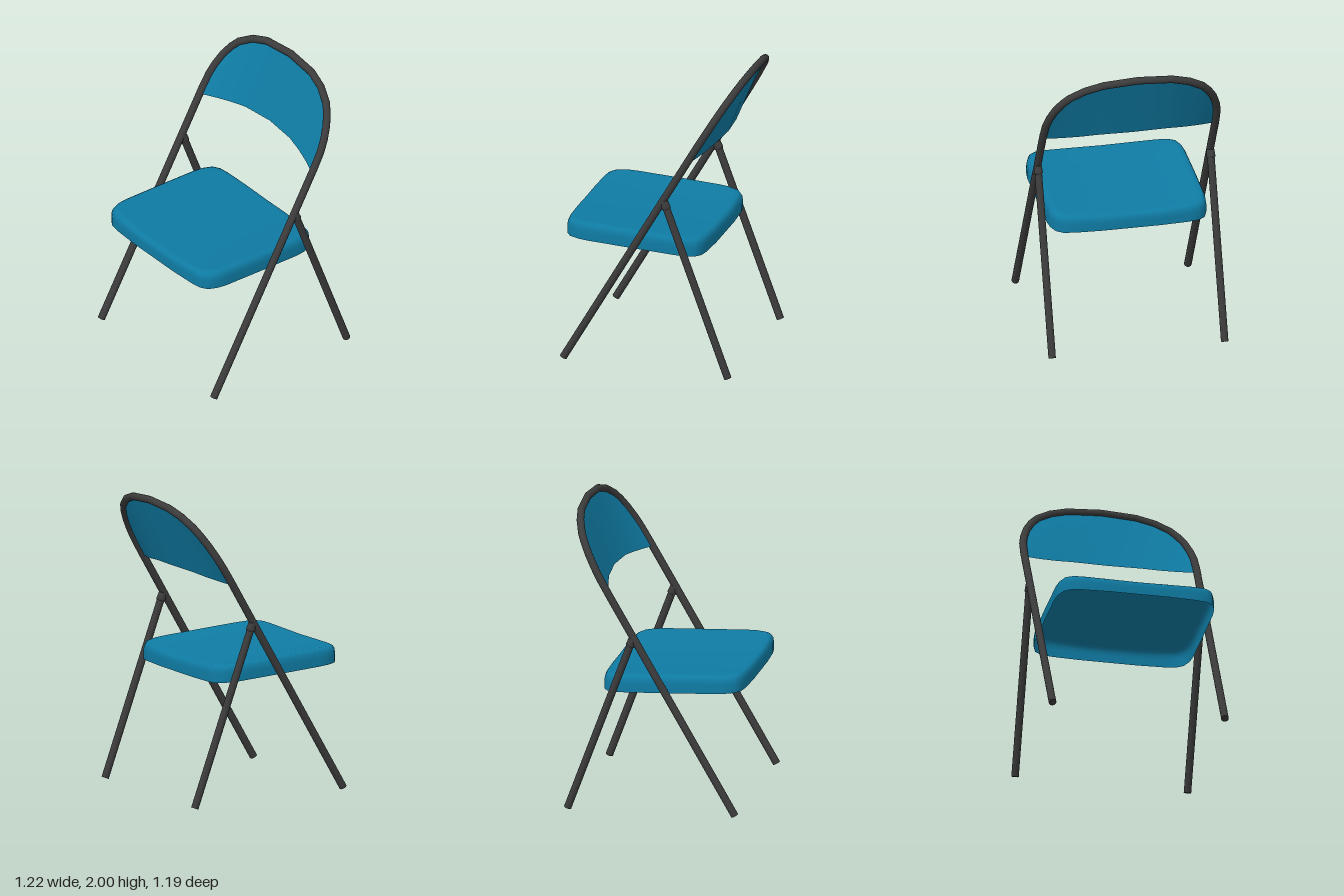
import * as THREE from 'three';

const R = 0.025; // tube radius
const V = (x, y, z) => new THREE.Vector3(x, y, z);

// Plane in which the main frame lies
const frameZ = (y) => 0.565 - (y - 0.035) * 0.5835;

// Path through straight segments, with one tube ring at each corner
class Polyline extends THREE.Curve {
  constructor(points) {
    super();
    this.points = points;
  }
  getPointAt(u) {
    const n = this.points.length - 1;
    const i = Math.min(Math.floor(u * n + 1e-6), n - 1);
    return this.points[i].clone().lerp(this.points[i + 1], u * n - i);
  }
  getPoint(t) {
    return this.getPointAt(t);
  }
  getTangentAt(u) {
    const p = this.points, n = p.length - 1, i = Math.round(u * n);
    const dir = (k) => p[k + 1].clone().sub(p[k]).normalize();
    return dir(Math.max(i - 1, 0)).add(dir(Math.min(i, n - 1))).normalize();
  }
}

// Tube along points, with flat end caps
function tube(name, points, material, radius = R) {
  const group = new THREE.Group();
  group.name = name;
  const curve = new Polyline(points);
  group.add(new THREE.Mesh(new THREE.TubeGeometry(curve, points.length - 1, radius, 16), material));
  for (const end of [0, 1]) {
    const cap = new THREE.Mesh(new THREE.CircleGeometry(radius, 16), material);
    const out = curve.getTangentAt(end).multiplyScalar(end ? 1 : -1);
    cap.quaternion.setFromUnitVectors(V(0, 0, 1), out);
    cap.position.copy(points[end ? points.length - 1 : 0]);
    group.add(cap);
  }
  group.children.forEach((m) => { m.name = name; });
  return group;
}

// Surface from equal-length rows of points; optional centre closes the last row
function loft(rows, closed, centre) {
  const n = rows[0].length, pos = [], index = [];
  rows.flat().forEach((p) => pos.push(p.x, p.y, p.z));
  const steps = closed ? n : n - 1;
  for (let i = 0; i < rows.length - 1; i++) {
    for (let j = 0; j < steps; j++) {
      const k = (j + 1) % n;
      const a = i * n + j, b = i * n + k, c = a + n, d = b + n;
      index.push(a, c, b, c, d, b);
    }
  }
  if (centre) {
    const last = (rows.length - 1) * n;
    pos.push(centre.x, centre.y, centre.z);
    for (let j = 0; j < n; j++) index.push(last + j, last + n, last + ((j + 1) % n));
  }
  const g = new THREE.BufferGeometry();
  g.setAttribute('position', new THREE.Float32BufferAttribute(pos, 3));
  g.setIndex(index);
  g.computeVertexNormals();
  return g;
}

function seatGeometry() {
  // One quarter of the outline, mirrored to a full loop
  const quarter = [[0.535, 0], [0.533, 0.3], [0.525, 0.365], [0.5, 0.43], [0.455, 0.462], [0.38, 0.474], [0.2, 0.483], [0, 0.483]];
  const back = quarter.slice(0, -1).reverse();
  const half = [...quarter, ...back.map(([x, z]) => [-x, z])];
  const outline = [...half, ...half.slice(1, -1).reverse().map(([x, z]) => [x, -z])];
  // Scale and height of each ring, from the open lower rim to the top
  const rings = [[1, 0], [1, 0.06], [0.993, 0.088], [0.975, 0.108], [0.945, 0.118], [0.9, 0.119], [0.65, 0.119], [0.33, 0.119]];
  const point = (x, dz, h) => {
    const z = 0.115 + dz;
    const dip = 0.017 * (1 - (x / 0.5) ** 2) * (h / 0.119);
    return V(x, 0.826 + 0.0567 * z + h - Math.max(dip, 0), z);
  };
  const rows = rings.map(([s, h]) => outline.map(([x, z]) => point(x * s, z * s, h)));
  return loft(rows, true, point(0, 0, 0.119));
}

export function createModel() {
  const model = new THREE.Group();
  model.name = 'foldingChair';
  const metal = new THREE.MeshStandardMaterial({ name: 'darkMetal', color: 0x3b3b3c });
  const teal = new THREE.MeshStandardMaterial({ name: 'tealPanel', color: 0x0f7ba3, side: THREE.DoubleSide });

  // Main frame: front legs running up into the arched back
  const arch = [[0.58, 1.5], [0.575, 1.6], [0.56, 1.67], [0.532, 1.745], [0.492, 1.81], [0.448, 1.86], [0.35, 1.92], [0.23, 1.958], [0, 1.977]];
  const archPoints = [
    ...arch.map(([x, y]) => V(-x, y, frameZ(y))),
    ...arch.slice(0, -1).reverse().map(([x, y]) => V(x, y, frameZ(y))),
  ];
  const foot = (s) => V(s * 0.58, 0.035, 0.565);
  model.add(tube('mainFrame', [foot(-1), ...archPoints, foot(1)], metal));

  // Curved back panel, hung from the arch and bowed backwards
  const lower = archPoints.map(({ x }) => {
    const y = 1.517 - 0.047 * Math.max(0, (Math.abs(x) - 0.18) / 0.4);
    return V(x, y, -0.39 + 0.122 * (x / 0.58) ** 2);
  });
  const middle = lower.map((p, i) => p.clone().lerp(archPoints[i], 0.5));
  const panel = new THREE.Mesh(loft([archPoints, middle, lower], false), teal);
  panel.name = 'backPanel';
  model.add(panel);

  // Seat pan, open underneath
  const seat = new THREE.Mesh(seatGeometry(), teal);
  seat.name = 'seat';
  model.add(seat);

  // Rear legs with a pivot sleeve at the top
  for (const s of [-1, 1]) {
    const top = V(s * 0.58, 1.2, -0.127), bottom = V(s * 0.58, 0.009, -0.565);
    const side = s > 0 ? 'left' : 'right';
    model.add(tube(side + 'RearLeg', [top, bottom], metal));

    const profile = [[0.024, -0.05], [0.03, -0.046], [0.03, -0.035], [0.027, 0.0], [0.02, 0.022], [0, 0.028]];
    const sleeve = new THREE.Mesh(
      new THREE.LatheGeometry(profile.map(([x, y]) => new THREE.Vector2(x, y)), 16), metal);
    sleeve.name = side + 'PivotSleeve';
    sleeve.position.copy(top);
    sleeve.quaternion.setFromUnitVectors(V(0, 1, 0), top.clone().sub(bottom).normalize());
    model.add(sleeve);
  }
  return model;
}
